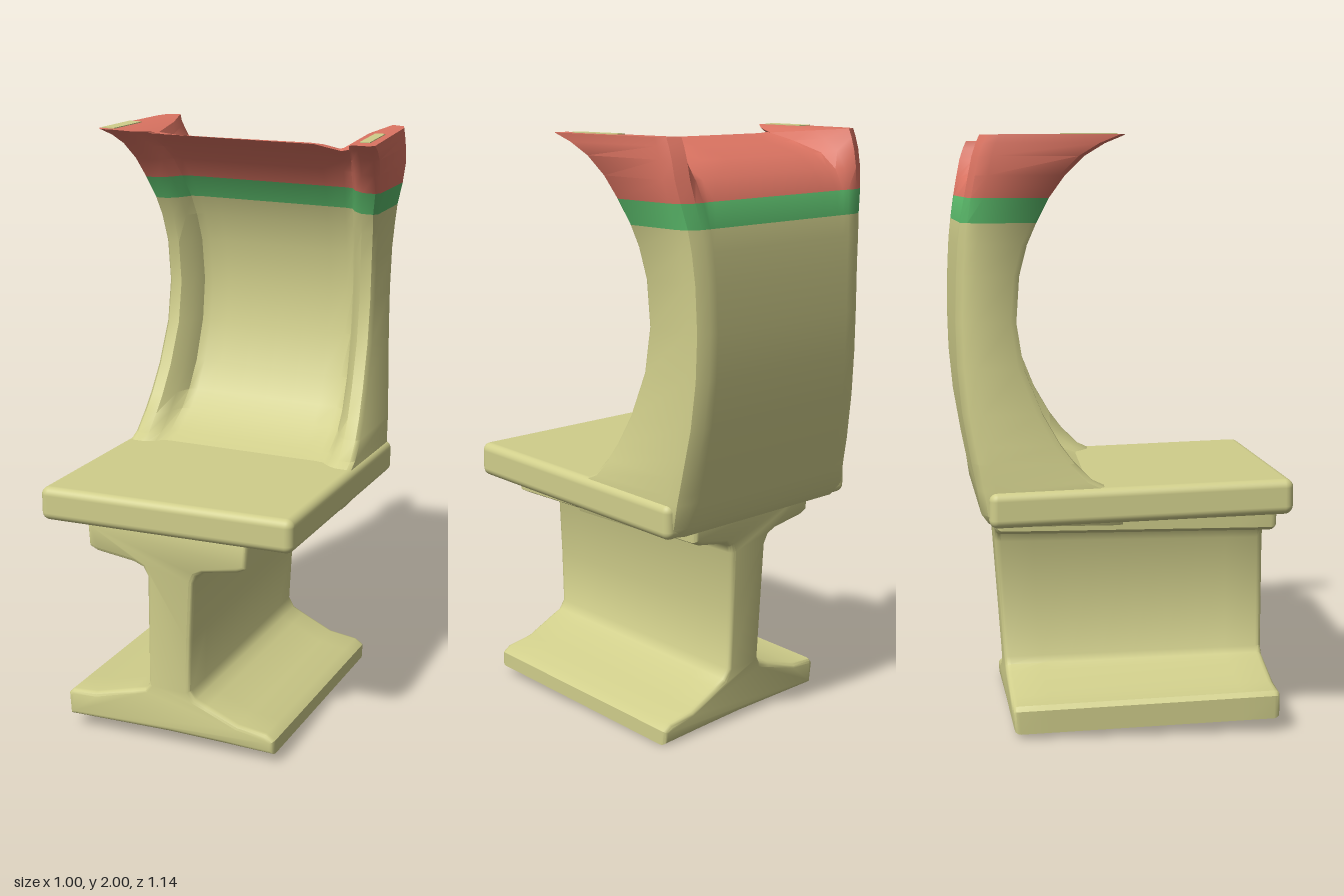
import * as THREE from 'three';
import { toCreasedNormals } from 'three/addons/utils/BufferGeometryUtils.js';
import { RoundedBoxGeometry } from 'three/addons/geometries/RoundedBoxGeometry.js';

const material = (name, color) => {
  const m = new THREE.MeshStandardMaterial({ color });
  m.name = name;
  return m;
};

const SKEW = 0.055; // the whole chair is slightly askew in plan

// Move every vertex of a geometry by a rule
function warp(geo, rule) {
  const p = geo.attributes.position;
  const v = new THREE.Vector3();
  for (let i = 0; i < p.count; i++) {
    v.fromBufferAttribute(p, i);
    rule(v);
    p.setXYZ(i, v.x, v.y, v.z);
  }
  return geo;
}

// I-shaped pedestal: foot, web and top flange in one profile
function pedestalGeometry() {
  const pts = [
    [-0.37, 0.045], [0, 0.045], [0.2, 0.038], [0.38, 0.03], [0.38, 0.08], [0.35, 0.1], [0.25, 0.115],
    [0.14, 0.165], [0.1, 0.182], [0.08, 0.21], [0.085, 0.4], [0.095, 0.61], [0.105, 0.635], [0.13, 0.65],
    [0.25, 0.67], [0.28, 0.685], [0.285, 0.78], [-0.285, 0.78], [-0.28, 0.69], [-0.25, 0.675],
    [-0.12, 0.655], [-0.085, 0.64], [-0.07, 0.61], [-0.07, 0.215], [-0.085, 0.195], [-0.13, 0.183],
    [-0.27, 0.145], [-0.36, 0.14], [-0.375, 0.125],
  ].map(([x, y]) => new THREE.Vector2(x, y));
  const geo = new THREE.ExtrudeGeometry(new THREE.Shape(pts), {
    depth: 0.86, steps: 8, bevelThickness: 0.02, bevelSize: 0.015, bevelOffset: -0.015, bevelSegments: 3,
  });
  geo.translate(0, 0, -0.36);
  warp(geo, (v) => {
    const back = (0.5 - v.z) / 0.9;
    v.y -= 0.035 * back * THREE.MathUtils.clamp((0.3 - v.y) / 0.15, 0, 1);
    v.z -= 0.07 * v.y * back + SKEW * v.x;
  });
  return toCreasedNormals(geo, 0.7);
}

// Backrest stations: y, half width, back z, wing front z, inner z, back z of the middle
const STATIONS = [
  [0.735, 0.418, -0.46, 0, -0.05, -0.46],
  [0.77, 0.43, -0.485, 0, -0.05, -0.485],
  [0.85, 0.428, -0.497, -0.035, -0.08, -0.497],
  [0.88, 0.426, -0.503, -0.1, -0.17, -0.503],
  [0.94, 0.423, -0.515, -0.16, -0.27, -0.515],
  [1.0, 0.418, -0.525, -0.205, -0.325, -0.525],
  [1.1, 0.41, -0.542, -0.262, -0.38, -0.542],
  [1.25, 0.402, -0.556, -0.322, -0.425, -0.556],
  [1.4, 0.4, -0.56, -0.345, -0.44, -0.56],
  [1.55, 0.405, -0.556, -0.335, -0.425, -0.556],
  [1.65, 0.415, -0.55, -0.31, -0.395, -0.55],
  [1.72, 0.425, -0.542, -0.28, -0.365, -0.542],
  [1.8, 0.445, -0.53, -0.24, -0.32, -0.522],
  [1.87, 0.458, -0.517, -0.19, -0.27, -0.475],
  [1.93, 0.475, -0.505, -0.13, -0.215, -0.4],
  [1.97, 0.49, -0.492, -0.065, -0.16, -0.26],
  [1.997, 0.502, -0.48, 0, -0.122, -0.135],
];

// Columns across half the backrest: width fraction, hollow amount, back corner, front corner
const HALF = [
  [1, 0, 0.06, -0.018], [0.97, 0, 0.02, 0], [0.87, 0, 0, 0], [0.785, 0.4, 0, 0],
  [0.73, 0.9, 0, 0], [0.66, 1, 0, 0], [0.5, 1, 0, 0], [0.25, 1, 0, 0],
];

// Hollow shell lofted upward, with wings that stand above the curled middle lip
function backrestGeometry() {
  const flip = ([u, ...rest]) => [-u, ...rest];
  const columns = [...HALF.map(flip), [0, 1, 0, 0], ...HALF.slice().reverse()];
  const n = columns.length, ring = 2 * n;
  const pos = [], index = [];
  const lerp = THREE.MathUtils.lerp;
  for (const [y, w, back, wing, inner, midBack] of STATIONS) {
    const rise = Math.max(0, y - 1.85);
    const front = [], rear = [];
    for (const [u, m, rearCorner, frontCorner] of columns) {
      // uneven dip in the lip near the left wing
      const dip = Math.max(0, 1 - Math.abs(u - 0.68) / 0.16) * rise / 0.15;
      const py = y - m * (rise * 0.16 + dip * 0.03);
      const zf = lerp(wing, inner, m) + frontCorner - dip * 0.06;
      const xb = u * Math.min(w, 0.46);
      const zb = lerp(back, midBack, m) + rearCorner - SKEW * xb;
      front.push([u * w, py, zf]);
      rear.unshift([xb, py, Math.min(zb, zf - 0.006)]);
    }
    pos.push(...front.flat(), ...rear.flat());
  }
  const geo = new THREE.BufferGeometry();
  const quad = (a, b, c, d) => index.push(a, b, c, a, c, d);
  const caps = (base, up) => {
    for (let i = 0; i < n - 1; i++) {
      const q = [base + i, base + i + 1, base + ring - 2 - i, base + ring - 1 - i];
      quad(...(up ? q : q.reverse()));
    }
  };
  const last = STATIONS.length - 1;
  for (let r = 0; r < last; r++) {
    const start = index.length;
    if (r === 0) caps(0, false);
    for (let i = 0; i < ring; i++) {
      const j = (i + 1) % ring, a = r * ring, b = a + ring;
      quad(a + i, a + j, b + j, b + i);
    }
    if (r === last - 1) caps(last * ring, true);
    // colour bands by height
    const y = STATIONS[r][0];
    geo.addGroup(start, index.length - start, y < 1.72 ? 0 : y < 1.8 ? 1 : 2);
  }
  geo.setAttribute('position', new THREE.Float32BufferAttribute(pos, 3));
  geo.setIndex(index);
  return toCreasedNormals(geo, 0.8);
}

export function createModel() {
  const beige = material('beige', 0xd0ce8b);
  const green = material('green', 0x5bbb6b);
  const red = material('red', 0xdc7462);
  const model = new THREE.Group();
  model.name = 'chair';
  const add = (name, geo, mat) => {
    const mesh = new THREE.Mesh(geo, mat);
    mesh.name = name;
    model.add(mesh);
    return mesh;
  };

  add('pedestal', pedestalGeometry(), beige);

  // Seat slab, tipped up slightly at the front
  const seat = new RoundedBoxGeometry(0.89, 0.118, 1.0, 4, 0.028);
  seat.translate(-0.003, 0.806, 0.038);
  add('seat', warp(seat, (v) => {
    v.y += 0.035 * v.z;
    v.z -= SKEW * v.x;
  }), beige);

  add('backrest', backrestGeometry(), [beige, green, red]);

  // Bare patches on top of the wings
  for (const [name, x, z, w, d, turn] of [
    ['rightWingPatch', -0.462, -0.115, 0.05, 0.18, 0.08],
    ['leftWingPatch', 0.443, -0.165, 0.034, 0.2, -0.08],
  ]) {
    const patch = add(name, new THREE.BoxGeometry(w, 0.006, d), beige);
    patch.position.set(x, 1.997, z);
    patch.rotation.y = -turn;
  }
  return model;
}
